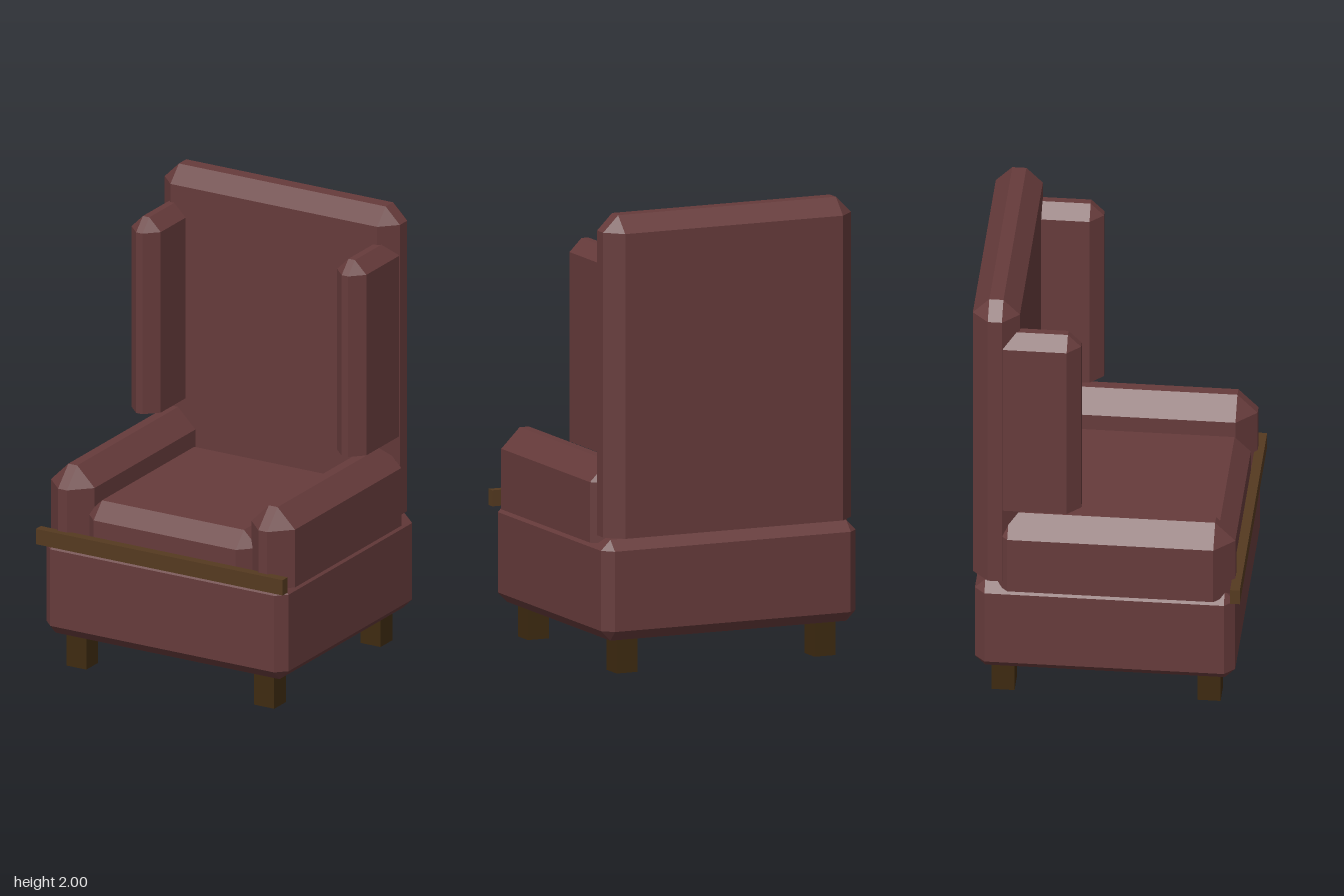
import * as THREE from 'three';
import { ConvexGeometry } from 'three/addons/geometries/ConvexGeometry.js';

const material = (name, color) => {
  const m = new THREE.MeshStandardMaterial({ color });
  m.name = name;
  return m;
};

// Box with edges cut at 45 degrees by c; the bottom edge stays square unless cutBottom.
function chamferedBox([x0, x1], [y0, y1], [z0, z1], c, cutBottom = false) {
  const points = [];
  const add = (x, y, z) => points.push(new THREE.Vector3(x, y, z));
  for (const [x, xi] of [[x0, x0 + c], [x1, x1 - c]]) {
    for (const [z, zi] of [[z0, z0 + c], [z1, z1 - c]]) {
      for (const y of [cutBottom ? y0 + c : y0, y1 - c]) {
        add(x, y, zi);
        add(xi, y, z);
      }
      add(xi, y1, zi);
      if (cutBottom) add(xi, y0, zi);
    }
  }
  return new ConvexGeometry(points);
}

function plainBox([x0, x1], [y0, y1], [z0, z1]) {
  return new THREE.BoxGeometry(x1 - x0, y1 - y0, z1 - z0)
    .translate((x0 + x1) / 2, (y0 + y1) / 2, (z0 + z1) / 2);
}

export function createModel() {
  const group = new THREE.Group();
  group.name = 'wingArmchair';
  const fabric = material('maroonFabric', 0x663b3b);
  const trim = material('brownTrim', 0x553a20);
  const wood = material('darkWood', 0x3e2a10);

  const add = (name, geometry, mat) => {
    const mesh = new THREE.Mesh(geometry, mat);
    mesh.name = name;
    group.add(mesh);
  };

  // Upholstered body
  add('base', chamferedBox([-0.605, 0.605], [0.15, 0.59], [-0.567, 0.555], 0.045, true), fabric);
  add('seatCushion', chamferedBox([-0.425, 0.425], [0.57, 0.78], [-0.375, 0.535], 0.07), fabric);
  add('backrest', chamferedBox([-0.588, 0.588], [0.6, 2], [-0.58, -0.377], 0.071), fabric);

  // Arms, wings and legs on both sides
  for (const [side, s] of [['left', 1], ['right', -1]]) {
    const span = (a, b) => (s > 0 ? [a, b] : [-b, -a]);
    add(side + 'Arm', chamferedBox(span(0.392, 0.61), [0.565, 0.916], [-0.51, 0.552], 0.087), fabric);
    add(side + 'Wing', chamferedBox(span(0.441, 0.587), [0.963, 1.846], [-0.5, -0.112], 0.057), fabric);
    add(side + 'FrontLeg', plainBox(span(0.42, 0.52), [0, 0.152], [0.388, 0.488]), wood);
    add(side + 'BackLeg', plainBox(span(0.42, 0.52), [0, 0.152], [-0.5, -0.4]), wood);
  }

  // Trim rail across the front
  add('frontRail', plainBox([-0.617, 0.617], [0.566, 0.636], [0.538, 0.58]), trim);

  return group;
}
